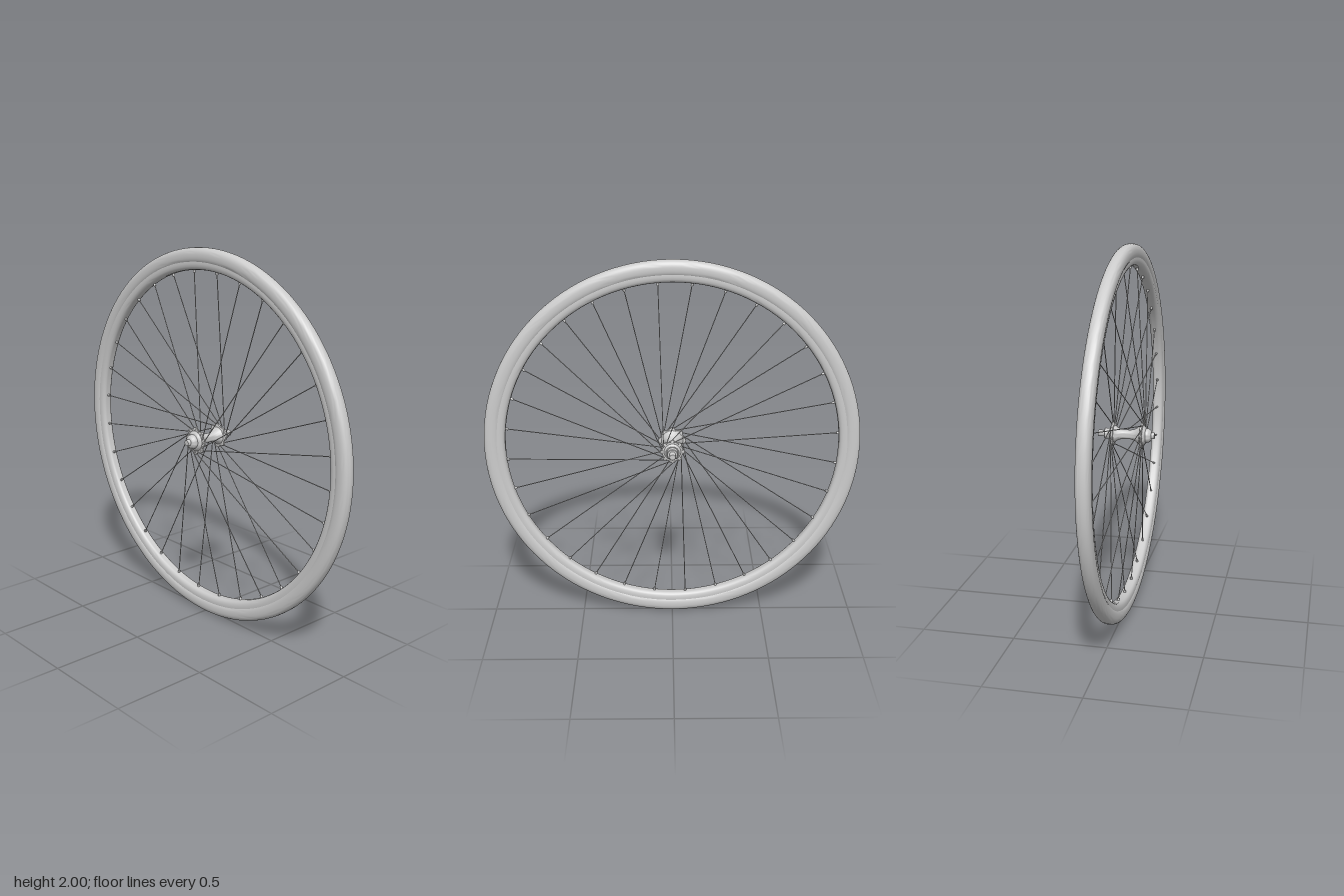
import * as THREE from 'three';
import { toCreasedNormals } from 'three/addons/utils/BufferGeometryUtils.js';

const material = new THREE.MeshStandardMaterial({ color: 0xcccccc });
const SPOKES = 32;
const RIM_Z = 0.004;

function addMesh(parent, name, geometry) {
  const mesh = new THREE.Mesh(geometry, material);
  mesh.name = name;
  parent.add(mesh);
  return mesh;
}

// Revolves [radius, z] points around the axle (z axis)
function turned(points, segments, crease = 0.7) {
  const profile = points.map(([r, z]) => new THREE.Vector2(r, z));
  const geometry = new THREE.LatheGeometry(profile, segments).rotateX(Math.PI / 2);
  return toCreasedNormals(geometry, crease);
}

// Thin rod between two points
function rod(parent, name, a, b, radius, sides) {
  const dir = b.clone().sub(a);
  const mesh = addMesh(parent, name, new THREE.CylinderGeometry(radius, radius, dir.length(), sides));
  mesh.position.copy(a).addScaledVector(dir, 0.5);
  mesh.quaternion.setFromUnitVectors(new THREE.Vector3(0, 1, 0), dir.normalize());
}

// Scalloped plate that holds the spoke heads
function flangeGeometry(radius, scallop) {
  const points = [];
  for (let i = 0; i < 96; i++) {
    const a = (i / 96) * Math.PI * 2;
    const r = radius + scallop * Math.cos(8 * a);
    points.push(new THREE.Vector2(r * Math.cos(a), r * Math.sin(a)));
  }
  const geometry = new THREE.ExtrudeGeometry(new THREE.Shape(points), {
    depth: 0.006, bevelEnabled: true, bevelThickness: 0.003, bevelSize: 0.003, bevelSegments: 2,
  });
  return toCreasedNormals(geometry.translate(0, 0, -0.003), 0.7);
}

export function createModel() {
  const model = new THREE.Group();
  const wheel = new THREE.Group();
  wheel.name = 'wheel';
  wheel.position.y = 1;
  model.add(wheel);

  // Tyre: rounded section with fairly flat sides
  const tyre = [];
  for (let i = 0; i <= 24; i++) {
    const a = THREE.MathUtils.lerp(-2.4, 2.4, i / 24);
    const s = Math.sin(a), c = Math.cos(a);
    tyre.push([
      0.957 + 0.043 * Math.sign(c) * Math.pow(Math.abs(c), 0.85),
      0.037 * Math.sign(s) * Math.pow(Math.abs(s), 0.8),
    ]);
  }
  tyre.push(tyre[0]);
  addMesh(wheel, 'tyre', turned(tyre, 128)).position.z = RIM_Z;

  // Rim: side walls rolling smoothly into the inner bed
  addMesh(wheel, 'rim', turned([
    [0.93, -0.031], [0.93, 0.031], [0.918, 0.032], [0.905, 0.03], [0.896, 0.026],
    [0.89, 0.019], [0.887, 0.01], [0.886, 0], [0.887, -0.01], [0.89, -0.019],
    [0.896, -0.026], [0.905, -0.03], [0.918, -0.032], [0.93, -0.031],
  ], 128)).position.z = RIM_Z;

  // Hub shell flaring out into both flanges
  const hub = new THREE.Group();
  hub.name = 'hub';
  wheel.add(hub);
  addMesh(hub, 'hubShell', turned([
    [0, -0.09], [0.034, -0.09], [0.042, -0.082], [0.05, -0.072], [0.042, -0.06], [0.03, -0.042],
    [0.025, -0.02], [0.025, 0.02], [0.03, 0.042], [0.042, 0.06], [0.058, 0.078],
    [0.054, 0.09], [0.046, 0.098], [0.038, 0.104], [0, 0.104],
  ], 32));
  addMesh(hub, 'frontFlange', flangeGeometry(0.065, 0.007)).position.z = 0.084;
  addMesh(hub, 'rearFlange', flangeGeometry(0.057, 0.005)).position.z = -0.073;

  // Axle with a domed front nut and a long rear nut
  addMesh(hub, 'axle', turned([
    [0, -0.155], [0.015, -0.155], [0.017, -0.152], [0.017, 0.147], [0.015, 0.15], [0, 0.15],
  ], 24));
  addMesh(hub, 'frontNut', turned([
    [0, 0.1], [0.038, 0.1], [0.038, 0.114], [0.035, 0.122], [0.029, 0.129], [0.022, 0.133], [0, 0.133],
  ], 32));
  addMesh(hub, 'rearNut', turned([
    [0, -0.12], [0.026, -0.12], [0.029, -0.117], [0.029, -0.088], [0, -0.088],
  ], 32));

  // Spokes swirl off the hub, alternating between the flanges
  const spokes = new THREE.Group();
  spokes.name = 'spokes';
  wheel.add(spokes);
  const polar = (r, a, z) => new THREE.Vector3(r * Math.cos(a), r * Math.sin(a), z);
  for (let i = 0; i < SPOKES; i++) {
    const front = i % 2 === 1;
    const angle = THREE.MathUtils.degToRad(-4.7) + (i / SPOKES) * Math.PI * 2;
    const start = polar(front ? 0.062 : 0.056, angle - 0.9, front ? 0.088 : -0.077);
    const end = polar(0.889, angle, RIM_Z);
    rod(spokes, 'spoke', start, end, 0.0025, 6);
    const inward = start.clone().sub(end).normalize();
    rod(spokes, 'nipple', end, end.clone().addScaledVector(inward, 0.016), 0.007, 8);

    // Spoke head on the flange
    const head = addMesh(spokes, 'spokeHead', new THREE.SphereGeometry(0.005, 8, 6));
    head.position.copy(start);
  }
  return model;
}
